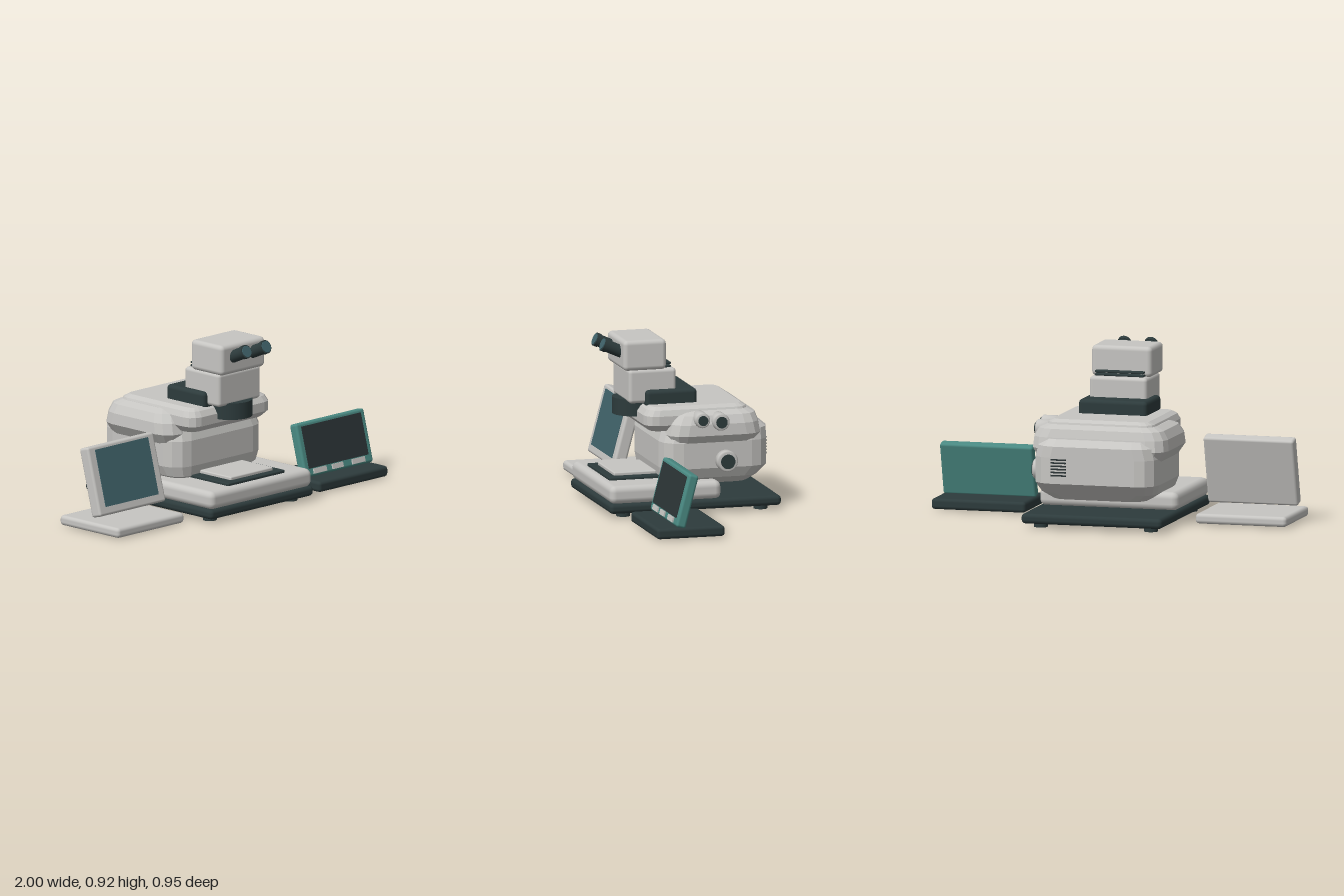
import * as THREE from 'three';
import { RoundedBoxGeometry } from 'three/addons/geometries/RoundedBoxGeometry.js';

const mat = (name, color) => {
  const m = new THREE.MeshStandardMaterial({ color });
  m.name = name;
  return m;
};

// Faceted solid through stacked rounded rectangles: [y, x0, x1, z0, z1, corner]
function loft(sections, steps = 3) {
  const rings = sections.map(([y, x0, x1, z0, z1, r]) => {
    const ring = [];
    const centres = [[x1 - r, z0 + r], [x0 + r, z0 + r], [x0 + r, z1 - r], [x1 - r, z1 - r]];
    centres.forEach(([cx, cz], q) => {
      for (let i = 0; i <= steps; i++) {
        const a = (q + i / steps) * Math.PI / 2;
        ring.push([cx + r * Math.cos(a), y, cz - r * Math.sin(a)]);
      }
    });
    return ring;
  });
  const pos = [];
  const tri = (a, b, c) => pos.push(...a, ...b, ...c);
  const n = rings[0].length;
  for (let k = 0; k < rings.length - 1; k++) {
    const lo = rings[k], hi = rings[k + 1];
    for (let i = 0; i < n; i++) {
      const j = (i + 1) % n;
      tri(lo[i], lo[j], hi[j]);
      tri(lo[i], hi[j], hi[i]);
    }
  }
  const top = rings[rings.length - 1], bottom = rings[0];
  for (let i = 1; i < n - 1; i++) {
    tri(top[0], top[i], top[i + 1]);
    tri(bottom[0], bottom[i + 1], bottom[i]);
  }
  const g = new THREE.BufferGeometry();
  g.setAttribute('position', new THREE.Float32BufferAttribute(pos, 3));
  g.computeVertexNormals();
  return g;
}

export function createModel() {
  const light = mat('warm grey plastic', 0xc6c5c2);
  const dark = mat('dark slate', 0x2d3b3c);
  const teal = mat('teal casing', 0x4a8a83);
  const glass = mat('blue green glass', 0x40636a);
  const black = mat('dark screen', 0x2b3436);

  const model = new THREE.Group();
  const add = (name, geo, m, parent = model) => {
    const mesh = new THREE.Mesh(geo, m);
    mesh.name = name;
    parent.add(mesh);
    return mesh;
  };
  // Rounded box given by its extents
  const box = (name, m, [x0, x1], [y0, y1], [z0, z1], r, parent) => {
    const mesh = add(name, new RoundedBoxGeometry(x1 - x0, y1 - y0, z1 - z0, 2, r), m, parent);
    mesh.position.set((x0 + x1) / 2, (y0 + y1) / 2, (z0 + z1) / 2);
    return mesh;
  };
  const plate = (name, m, w, h, d, x, y, z, parent) => {
    const mesh = add(name, new THREE.BoxGeometry(w, h, d), m, parent);
    mesh.position.set(x, y, z);
    return mesh;
  };

  // Base, feet and stage
  box('basePlate', dark, [-0.42, 0.36], [0.025, 0.08], [-0.475, 0.475], 0.022);
  for (const x of [-0.335, 0.275]) {
    for (const z of [-0.38, 0.38]) {
      add('foot', new THREE.CylinderGeometry(0.037, 0.037, 0.03, 24), dark).position.set(x, 0.015, z);
    }
  }
  box('frontDeck', light, [-0.415, 0.355], [0.075, 0.175], [-0.145, 0.472], 0.035);
  box('stagePad', dark, [-0.245, 0.185], [0.17, 0.19], [0.13, 0.43], 0.007);
  box('stagePlate', light, [-0.185, 0.135], [0.185, 0.207], [0.155, 0.39], 0.007);

  // Body: lower hull, shoulder band and top slab
  add('lowerBody', loft([
    [0.145, -0.28, 0.235, -0.335, 0.11, 0.08],
    [0.185, -0.34, 0.295, -0.375, 0.155, 0.09],
    [0.24, -0.365, 0.32, -0.43, 0.165, 0.11],
    [0.38, -0.365, 0.32, -0.43, 0.165, 0.11],
    [0.44, -0.35, 0.305, -0.43, 0.145, 0.11],
    [0.475, -0.32, 0.275, -0.39, 0.12, 0.09],
  ]), light);
  add('shoulderBand', loft([
    [0.355, -0.36, 0.305, -0.36, 0.105, 0.07],
    [0.42, -0.405, 0.345, -0.387, 0.138, 0.1],
    [0.48, -0.4, 0.34, -0.375, 0.125, 0.1],
    [0.525, -0.375, 0.315, -0.36, 0.095, 0.09],
    [0.545, -0.33, 0.27, -0.32, 0.05, 0.07],
  ]), light);
  add('topSlab', loft([
    [0.44, -0.305, 0.245, -0.27, 0.215, 0.05],
    [0.475, -0.335, 0.28, -0.31, 0.25, 0.07],
    [0.525, -0.335, 0.28, -0.325, 0.25, 0.07],
    [0.555, -0.32, 0.265, -0.315, 0.23, 0.06],
    [0.57, -0.29, 0.235, -0.29, 0.205, 0.04],
  ]), light);

  // Cooling slots on the back
  for (let i = 0; i < 6; i++) {
    plate('ventSlot', black, 0.085, 0.008, 0.008, 0.165, 0.285 + i * 0.017, -0.429);
  }

  // Side knobs: bevelled collar and dark cap
  const knob = (y, z, r, capR, x0, x1) => {
    const g = new THREE.Group();
    g.name = 'knob';
    const profile = [[0, 0], [r, 0], [r, x1 - x0 - 0.008], [r - 0.008, x1 - x0], [0, x1 - x0]]
      .map(p => new THREE.Vector2(...p));
    const collar = add('knobCollar', new THREE.LatheGeometry(profile, 32), light, g);
    collar.material = light;
    const cap = add('knobCap', new THREE.CylinderGeometry(capR, capR, 0.008, 32), dark, g);
    cap.position.y = x1 - x0 + 0.002;
    g.rotation.z = -Math.PI / 2;
    g.position.set(x0, y, z);
    model.add(g);
  };
  knob(0.28, -0.174, 0.057, 0.039, 0.29, 0.37);
  knob(0.508, -0.037, 0.041, 0.027, 0.26, 0.367);
  knob(0.494, -0.14, 0.046, 0.031, 0.26, 0.367);

  // Optical column
  box('columnMount', dark, [-0.22, 0.16], [0.55, 0.645], [-0.065, 0.218], 0.022);
  box('column', light, [-0.19, 0.13], [0.572, 0.755], [0.042, 0.305], 0.02);
  add('objective', new THREE.CylinderGeometry(0.118, 0.118, 0.09, 40), dark).position.set(-0.03, 0.54, 0.232);
  for (const y of [0.762, 0.779]) {
    box('columnSlat', dark, [-0.165, 0.105], [y - 0.006, y + 0.006], [0.066, 0.2], 0.004);
  }
  box('head', light, [-0.2, 0.135], [0.75, 0.915], [0.097, 0.335], 0.025);

  // Twin eyepieces, tilted up toward the viewer
  for (const x of [-0.105, 0.043]) {
    const g = new THREE.Group();
    g.name = 'eyepiece';
    add('eyeTube', new THREE.CylinderGeometry(0.033, 0.033, 0.17, 28), dark, g).position.y = -0.085;
    add('eyeCup', new THREE.CylinderGeometry(0.037, 0.037, 0.022, 28), dark, g).position.y = -0.011;
    add('eyeLens', new THREE.CylinderGeometry(0.031, 0.031, 0.006, 28), glass, g).position.y = 0.001;
    g.position.set(x, 0.889, 0.427);
    g.rotation.x = THREE.MathUtils.degToRad(66);
    model.add(g);
  }

  // Leaning display panels on their own bases
  const panel = (name, m, w, h, d, x, y, z) => {
    const g = new THREE.Group();
    g.name = name;
    add('panelCase', new RoundedBoxGeometry(w, h, d, 2, 0.014), m, g);
    g.position.set(x, y, z);
    g.rotation.x = THREE.MathUtils.degToRad(-15);
    model.add(g);
    return g;
  };
  box('monitorBase', light, [-1, -0.495], [0.005, 0.06], [-0.09, 0.352], 0.02);
  const monitor = panel('monitor', light, 0.5, 0.376, 0.068, -0.747, 0.275, 0.135);
  plate('monitorScreen', glass, 0.4, 0.31, 0.008, 0, 0.012, 0.033, monitor);

  box('controllerBase', dark, [0.478, 1], [0.005, 0.063], [0.022, 0.398], 0.018);
  const controller = panel('controller', teal, 0.515, 0.292, 0.055, 0.738, 0.203, 0.229);
  plate('controllerScreen', black, 0.45, 0.228, 0.008, 0, 0.012, 0.027, controller);
  for (const [x, w] of [[-0.148, 0.095], [-0.015, 0.08], [0.142, 0.095]]) {
    plate('controllerButton', light, w, 0.028, 0.012, x, -0.12, 0.03, controller);
  }

  return model;
}
